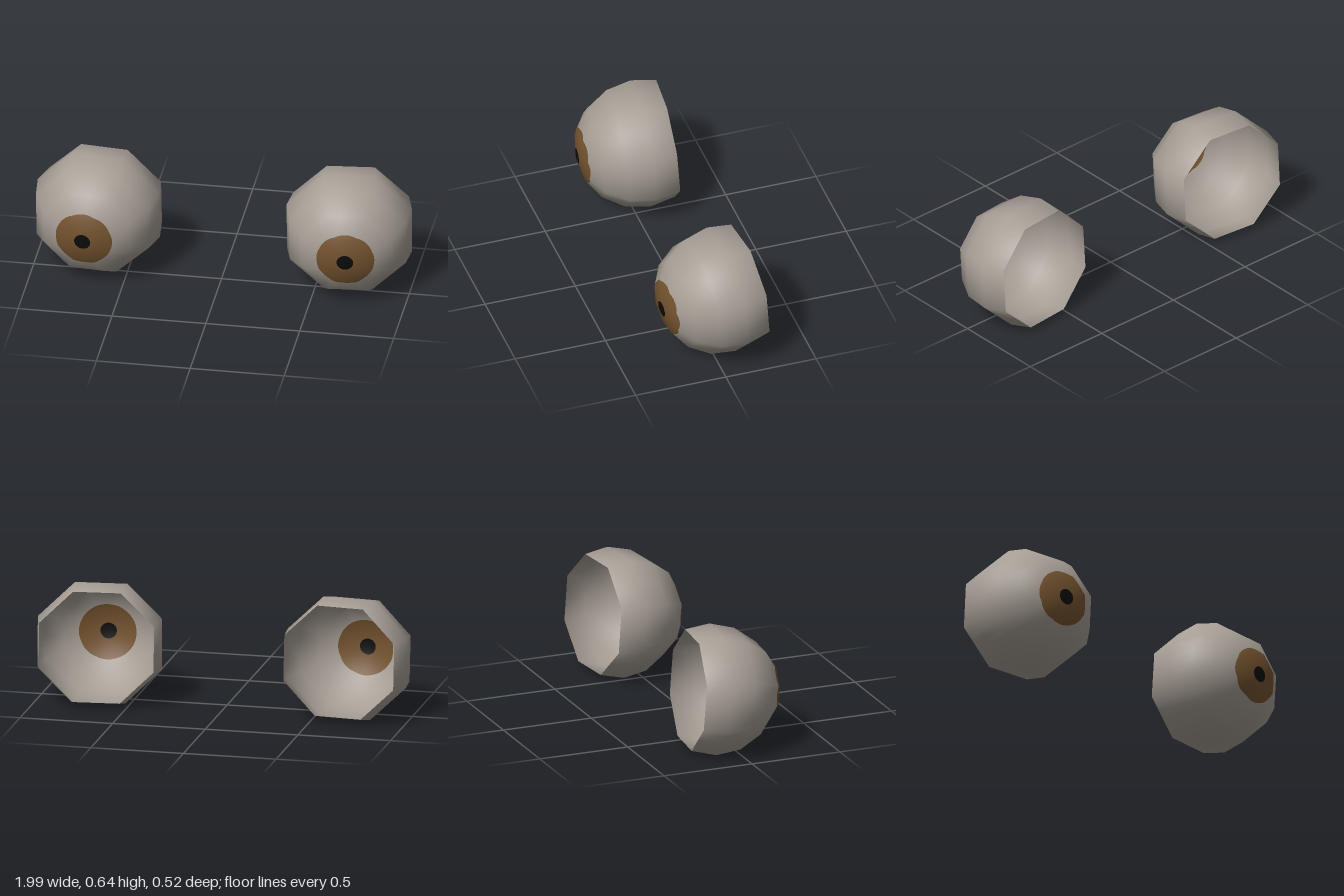
import * as THREE from 'three';

const STEP = Math.PI / 8;   // half a side of the octagon, also the latitude step
const AROUND = 48;          // samples around, six per flat side

const material = (name, color) => {
  const m = new THREE.MeshStandardMaterial({ color, side: THREE.DoubleSide });
  m.name = name;
  return m;
};

// Depth of the eight-sided unit ball at corner radius a (straight between its rings)
function depthAt(a) {
  for (let k = 4; k > 0; k--) {
    const a0 = Math.cos(k * STEP), a1 = Math.cos((k - 1) * STEP);
    if (a <= a1 + 1e-6) {
      return THREE.MathUtils.lerp(Math.sin(k * STEP), Math.sin((k - 1) * STEP), (a - a0) / (a1 - a0));
    }
  }
  return 0;
}

// Ring types: a round outline lying on the facets, or one of the ball's octagons
const round = (r) => (cosD) => {
  const a = r * cosD / Math.cos(STEP);
  return [r, depthAt(a)];
};
const octagon = (lat) => (cosD) =>
  [Math.cos(lat * STEP) * Math.cos(STEP) / cosD, Math.sin(lat * STEP)];

// Joins rings, listed from the pole outward, into one faceted patch with smooth normals
function patch(rings) {
  const pos = [], norm = [], index = [], row = AROUND + 1;
  rings.forEach((ring, i) => {
    for (let j = 0; j <= AROUND; j++) {
      const t = (j / AROUND) * Math.PI * 2 + STEP;
      const d = ((j / AROUND) * 8 % 1) * 2 * STEP - STEP;
      const [r, z] = ring(Math.cos(d));
      const p = new THREE.Vector3(r * Math.cos(t), r * Math.sin(t), z);
      pos.push(p.x, p.y, p.z);
      p.normalize();
      norm.push(p.x, p.y, p.z);
      if (i > 0 && j < AROUND) {
        const a = (i - 1) * row + j, b = i * row + j;
        if (i > 1 || rings[0](1)[0] > 0) index.push(a, b + 1, a + 1);
        index.push(a, b, b + 1);
      }
    }
  });
  const g = new THREE.BufferGeometry();
  g.setAttribute('position', new THREE.Float32BufferAttribute(pos, 3));
  g.setAttribute('normal', new THREE.Float32BufferAttribute(norm, 3));
  g.setIndex(index);
  return g.scale(0.357, 0.346, 0.352);
}

export function createModel() {
  const model = new THREE.Group();
  model.name = 'eyes';

  const pupilEdge = round(0.122), irisEdge = round(0.428);
  const parts = [
    ['pupil', patch([round(0), pupilEdge]), material('black', 0x0b0b0b)],
    ['iris', patch([pupilEdge, octagon(3), irisEdge]), material('brown', 0x74532f)],
    // The shell stops one ring behind the widest one and is open at the back
    ['eyeWhite', patch([irisEdge, octagon(2), octagon(1), octagon(0), octagon(-1)]),
      material('warm grey', 0xa69e95)],
  ];

  // Each eye looks slightly down and outward
  for (const side of [1, -1]) {
    const eye = new THREE.Group();
    eye.name = side > 0 ? 'leftEye' : 'rightEye';
    for (const [name, geometry, mat] of parts) {
      const mesh = new THREE.Mesh(geometry, mat);
      mesh.name = name;
      eye.add(mesh);
    }
    eye.position.set(side * 0.667, 0.319, -0.085);
    eye.rotation.set(0.071, side * 0.095, 0, 'YXZ');
    model.add(eye);
  }
  return model;
}
